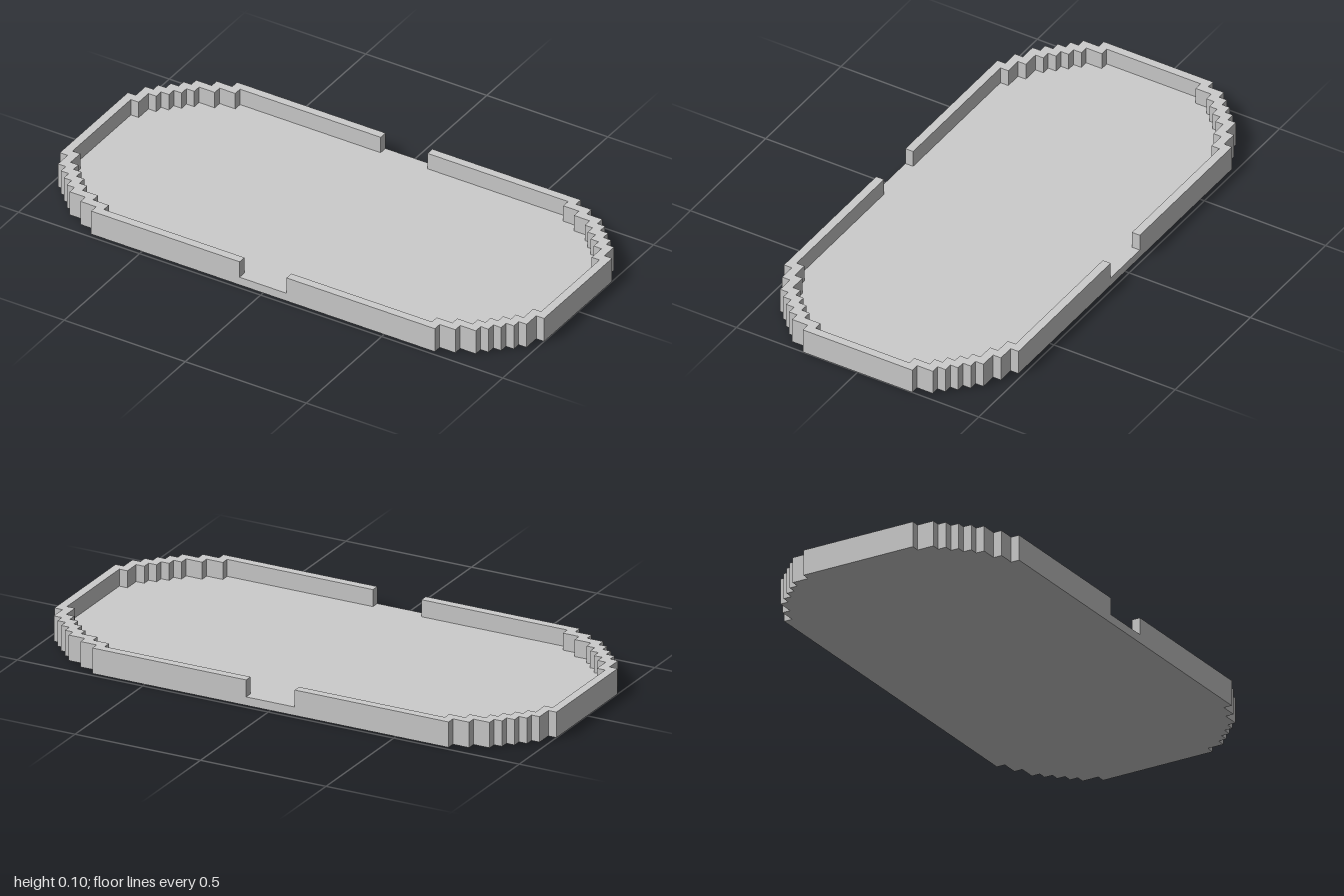
import * as THREE from 'three';

const U = 1 / 31; // one block
// Stepped corner, in blocks: outer corner of each step from the end to the long side
const STEPS = [[31, 7], [30, 9], [29, 10], [28, 11], [27, 12], [26, 13], [24, 14], [22, 15]];
const GAP = 3; // half width of the openings

// Stair outline of the +x half, from (x0, -z) round the end to (x0, +z)
function halfOutline(x0, inset) {
  const c = STEPS.map(([x, z]) => [x - inset, z - inset]);
  const quarter = [];
  c.forEach(([x, z], i) => {
    quarter.push([x, z]);
    if (i < c.length - 1) quarter.push([c[i + 1][0], z]);
  });
  quarter.push([x0, c[c.length - 1][1]]);
  const mirrored = quarter.map(([x, z]) => [x, -z]).reverse();
  return [...mirrored, ...quarter];
}

// Extrude an outline upwards from height y0 (all in blocks)
function slab(points, y0, height) {
  const shape = new THREE.Shape(points.map(([x, z]) => new THREE.Vector2(x * U, z * U)));
  const geometry = new THREE.ExtrudeGeometry(shape, { depth: height * U, bevelEnabled: false });
  geometry.rotateX(-Math.PI / 2);
  geometry.translate(0, y0 * U, 0);
  return geometry;
}

export function createModel() {
  const group = new THREE.Group();
  const material = new THREE.MeshStandardMaterial({ color: 0xcccccc, flatShading: true });
  const add = (name, geometry) => {
    const mesh = new THREE.Mesh(geometry, material);
    mesh.name = name;
    group.add(mesh);
    return mesh;
  };

  // Floor: both halves of the stepped outline joined
  const half = halfOutline(GAP, 0).slice(1, -1);
  add('floor', slab([...half, ...half.map(([x, z]) => [-x, -z])], 0, 1));

  // Rim walls: one per end, with openings between them at front and back
  const wall = slab([...halfOutline(GAP, 0), ...halfOutline(GAP, 1).reverse()], 1, 2);
  add('leftWall', wall);
  add('rightWall', wall).rotation.y = Math.PI;

  return group;
}
